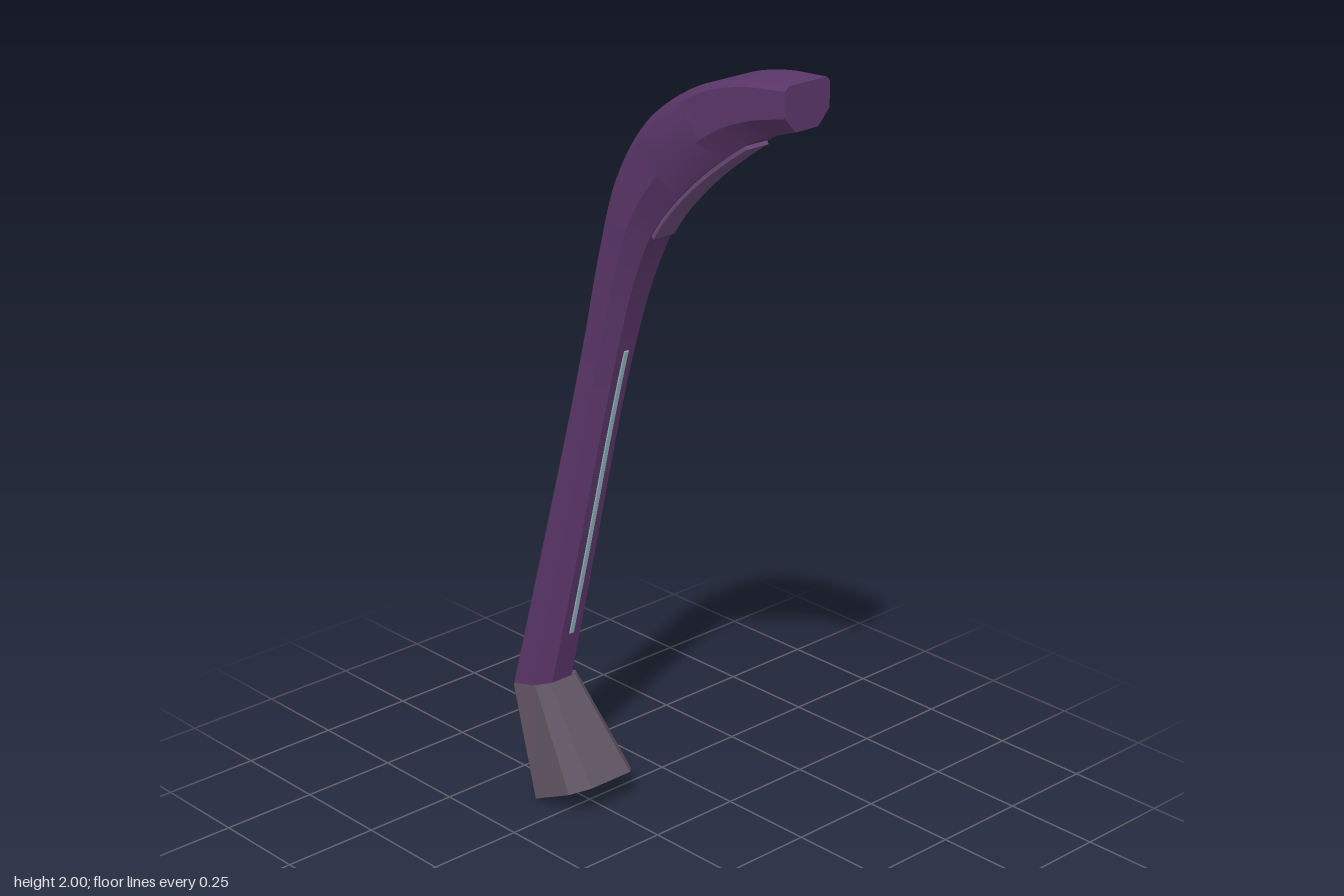
import * as THREE from 'three';
import { toCreasedNormals } from 'three/addons/utils/BufferGeometryUtils.js';

const mat = (name, color) => {
  const m = new THREE.MeshStandardMaterial({ color });
  m.name = name;
  return m;
};

// Closed loft through rings of equal length, ordered from bottom to top
function loft(rings, crease) {
  const n = rings[0].length, pos = [], idx = [];
  rings.forEach(r => r.forEach(p => pos.push(p.x, p.y, p.z)));
  for (let i = 0; i < rings.length - 1; i++) {
    for (let j = 0; j < n; j++) {
      const k = (j + 1) % n;
      const a = i * n + j, b = i * n + k, c = b + n, d = a + n;
      idx.push(a, b, c, a, c, d);
    }
  }
  const top = (rings.length - 1) * n;
  for (let j = 1; j < n - 1; j++) {
    idx.push(0, j + 1, j, top, top + j, top + j + 1);
  }
  const g = new THREE.BufferGeometry();
  g.setAttribute('position', new THREE.Float32BufferAttribute(pos, 3));
  g.setIndex(idx);
  return toCreasedNormals(g, crease);
}

// Chamfered section between an outer point o and an inner point i;
// profile pairs are [share of the way inward, share of the half width]
function section(o, i, w, profile) {
  const at = ([t, s], sign) => new THREE.Vector3(
    o.x + (i.x - o.x) * t, o.y + (i.y - o.y) * t, sign * s * w);
  return [...profile.map(p => at(p, 1)), ...[...profile].reverse().map(p => at(p, -1))];
}

export function createModel() {
  const group = new THREE.Group();
  const purple = mat('purple shell', 0x5b3669);
  const grey = mat('grey foot', 0x5f5361);
  const mauve = mat('mauve pad', 0x6b4a78);
  const pale = mat('pale strip', 0x93b4c0);
  const add = (name, geometry, material) => {
    const m = new THREE.Mesh(geometry, material);
    m.name = name;
    group.add(m);
  };

  // Stations along the arm: outer x, y, inner x, y, half width
  const stations = [
    [-0.469, 0.27, -0.35, 0.30, 0.065],
    [-0.352, 0.70, -0.25, 0.69, 0.058],
    [-0.257, 1.05, -0.165, 1.03, 0.054],
    [-0.20, 1.26, -0.108, 1.24, 0.056],
    [-0.14, 1.48, -0.045, 1.43, 0.064],
    [-0.07, 1.68, 0.024, 1.57, 0.073],
    [0.04, 1.84, 0.13, 1.69, 0.078],
    [0.20, 1.95, 0.28, 1.81, 0.077],
    [0.33, 1.988, 0.36, 1.857, 0.073],
    [0.465, 2.0, 0.465, 1.895, 0.068],
  ];
  const last = stations.length - 1;
  // z of each curve carries the half width
  const outer = new THREE.CatmullRomCurve3(stations.map(s => new THREE.Vector3(s[0], s[1], s[4])));
  const inner = new THREE.CatmullRomCurve3(stations.map(s => new THREE.Vector3(s[2], s[3], s[4])));

  // Curved arm
  const armProfile = [[0, 0.85], [0.1, 1], [0.66, 1], [1, 0.5]];
  const rings = [];
  for (let k = 0; k <= 54; k++) {
    const o = outer.getPoint(k / 54), i = inner.getPoint(k / 54);
    rings.push(section(o, i, o.z, armProfile));
  }
  add('arm', loft(rings, 0.6), purple);

  // Thin inlays lying on the inner face of the arm
  function inlay(from, to, halfWidth, height) {
    const steps = 20, list = [];
    for (let k = 0; k <= steps; k++) {
      const u = (from + (to - from) * k / steps) / last;
      const o = outer.getPoint(u).setZ(0), i = inner.getPoint(u).setZ(0);
      const n = i.clone().sub(o).normalize();
      const low = i.clone().addScaledVector(n, -0.01);
      const high = i.clone().addScaledVector(n, height);
      list.push(section(low, high, halfWidth, [[0, 1], [1, 1]]));
    }
    return loft(list, 0.6);
  }
  add('undersidePad', inlay(4.9, 7.42, 0.033, 0.009), mauve);
  add('lightStrip', inlay(0.36, 3, 0.006, 0.004), pale);

  // Flared foot
  const P = (x, y) => new THREE.Vector3(x, y, 0);
  const footProfile = [[0, 0.8], [0.08, 1], [0.78, 1], [1, 0.62]];
  const bottom = [P(-0.35, 0), P(-0.17, 0.085)], top = [P(-0.467, 0.268), P(-0.347, 0.302)];
  add('foot', loft([
    section(...bottom, 0.105, footProfile),
    section(...top, 0.067, footProfile),
  ], 0.2), grey);

  // Thin plate over the back of the foot
  const plate = [[0, 1], [1, 1]];
  add('footBackPlate', loft([
    section(P(-0.352, 0.001), P(-0.348, 0.002), 0.084, plate),
    section(P(-0.469, 0.268), P(-0.465, 0.269), 0.054, plate),
  ], 0.2), purple);

  return group;
}
